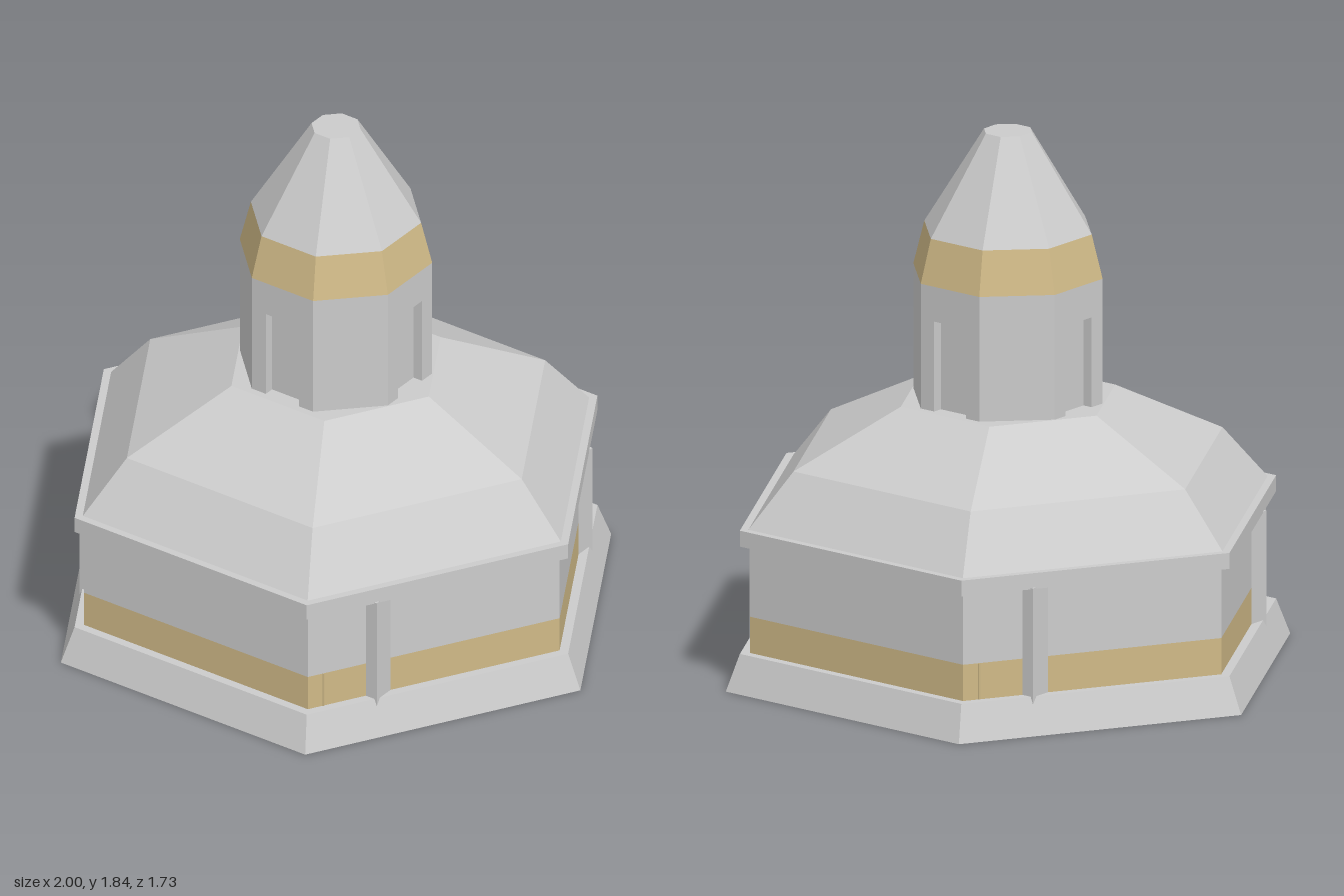
import * as THREE from 'three';

const grey = new THREE.MeshStandardMaterial({ color: 0xcccccc, flatShading: true });
const gold = new THREE.MeshStandardMaterial({ color: 0xcfb987, flatShading: true });

// Straight or tapering prism ring between two heights
function prism(name, sides, turn, rBottom, rTop, y0, y1, material = grey) {
  const geo = new THREE.CylinderGeometry(rTop, rBottom, y1 - y0, sides, 1);
  geo.rotateY(turn).translate(0, (y0 + y1) / 2, 0);
  const mesh = new THREE.Mesh(geo, material);
  mesh.name = name;
  return mesh;
}

// Hexagon with corners on the x axis; octagon with flats facing the axes
const hex = (name, ...rest) => prism(name, 6, Math.PI / 2, ...rest);
const octRadius = (apothem) => apothem / Math.cos(Math.PI / 8);
const oct = (name, a0, a1, ...rest) =>
  prism(name, 8, Math.PI / 8, octRadius(a0), octRadius(a1), ...rest);

// Lower drum: octagonal plan with a doorway notch cut into four faces
function doorwayDrum(apothem, halfDoor, depth, y0, y1) {
  const half = apothem * Math.tan(Math.PI / 8);
  const side = [
    [apothem, -half], [apothem, -halfDoor], [apothem - depth, -halfDoor],
    [apothem - depth, halfDoor], [apothem, halfDoor], [apothem, half],
  ];
  const points = [];
  for (let i = 0; i < 4; i++) {
    for (const [x, y] of side) {
      points.push(new THREE.Vector2(x, y).rotateAround(new THREE.Vector2(), i * Math.PI / 2));
    }
  }
  const geo = new THREE.ExtrudeGeometry(new THREE.Shape(points), { depth: y1 - y0, bevelEnabled: false });
  geo.rotateX(-Math.PI / 2).translate(0, y0, 0);
  const mesh = new THREE.Mesh(geo, grey);
  mesh.name = 'towerDoorways';
  return mesh;
}

// Upright box whose outer corner sits at (x, z), mirrored to all four quadrants
function cornerPosts(name, x, z, size, y0, y1, material) {
  const group = new THREE.Group();
  group.name = name + 's';
  for (const sx of [-1, 1]) {
    for (const sz of [-1, 1]) {
      const post = new THREE.Mesh(new THREE.BoxGeometry(size, y1 - y0, size), material);
      post.position.set(sx * (x - size / 2), (y0 + y1) / 2, sz * (z - size / 2));
      post.name = name;
      group.add(post);
    }
  }
  return group;
}

export function createModel() {
  const model = new THREE.Group();
  model.name = 'domedPavilion';

  // Hexagonal hall
  model.add(
    hex('plinth', 1, 0.95, 0, 0.125),
    hex('wallBand', 0.915, 0.915, 0.125, 0.25, gold),
    hex('wall', 0.915, 0.915, 0.25, 0.495),
    hex('eave', 0.95, 0.95, 0.495, 0.55),
    hex('lowerRoof', 0.92, 0.76, 0.55, 0.735),
    hex('upperRoof', 0.76, 0.38, 0.735, 0.92),
  );

  // Posts half buried in the slanted walls
  model.add(
    cornerPosts('wallPost', 0.608, 0.61, 0.12, 0.05, 0.5, grey),
    cornerPosts('bandStud', 0.488, 0.746, 0.03, 0.1, 0.25, gold),
  );

  // Octagonal tower
  model.add(
    doorwayDrum(0.303, 0.068, 0.035, 0.92, 1.23),
    oct('towerWall', 0.303, 0.303, 1.23, 1.35),
    oct('towerBand', 0.303, 0.268, 1.35, 1.5, gold),
    oct('spire', 0.268, 0.077, 1.5, 1.835),
  );
  return model;
}
